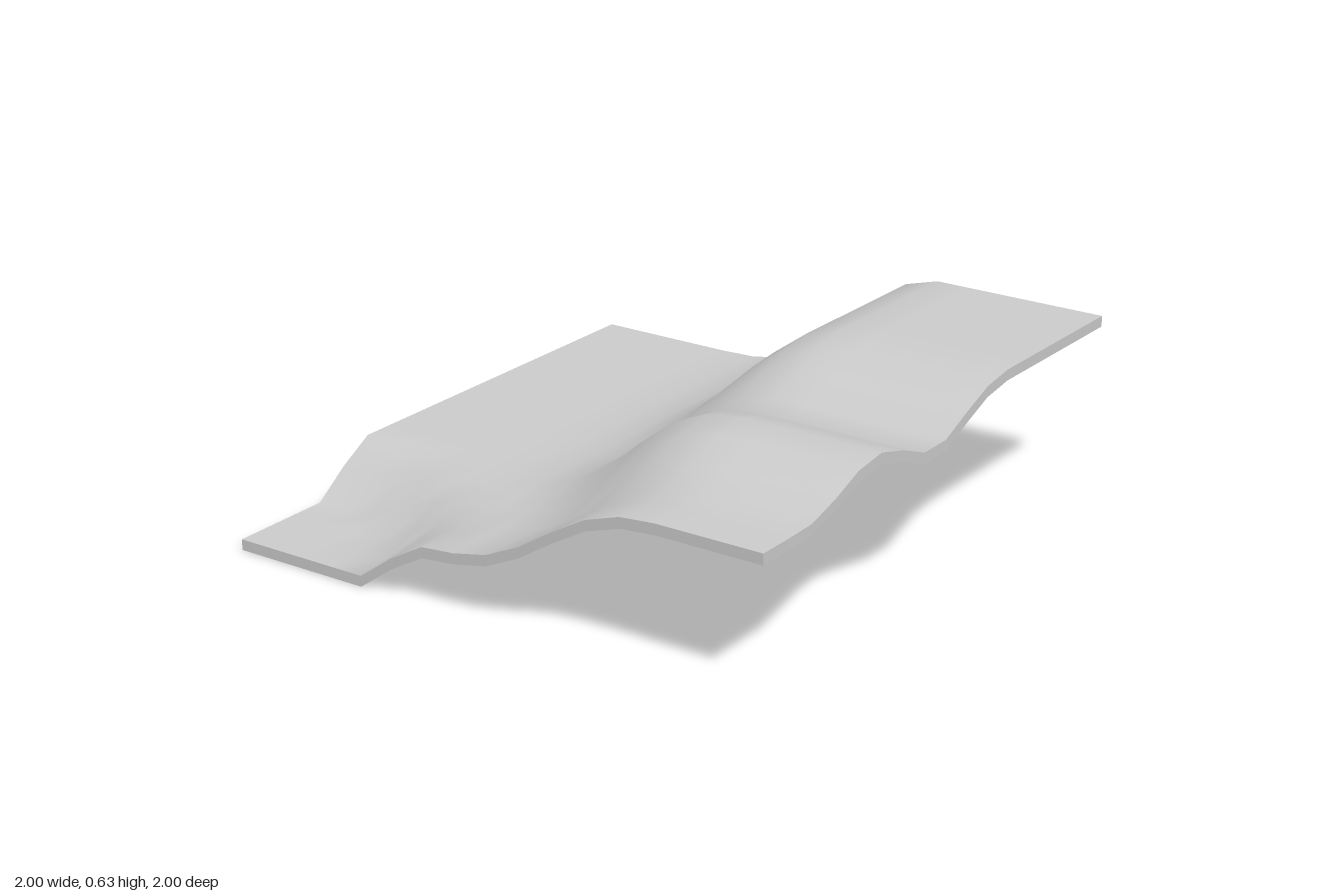
import * as THREE from 'three';

// Piecewise-linear curve through [position, value] pairs, held flat beyond the ends
function curve(points) {
  return (t) => {
    if (t <= points[0][0]) return points[0][1];
    for (let i = 1; i < points.length; i++) {
      const [t0, v0] = points[i - 1];
      const [t1, v1] = points[i];
      if (t <= t1) return v0 + ((v1 - v0) * (t - t0)) / (t1 - t0);
    }
    return points[points.length - 1][1];
  };
}

const THICKNESS = 0.037;
const LOWLAND = 0.2;

// Height of the upper terrace from back to front: plateau, valley, hump, shelf
const terrace = curve([
  [-0.375, 0.63], [-0.25, 0.612], [-0.125, 0.565], [0, 0.513], [0.125, 0.512], [0.25, 0.56],
  [0.375, 0.593], [0.5, 0.577], [0.625, 0.53], [0.75, 0.495], [0.875, 0.492],
]);

// Slope between lowland (0) and terrace (1), and its sideways drift towards the front
const slope = curve([
  [-0.4, 0], [-0.25, 0.058], [-0.125, 0.175], [0, 0.43], [0.125, 0.71], [0.25, 0.92], [0.375, 1],
]);
const drift = curve([[0, 0], [0.375, 0.06], [0.75, 0.18]]);

// Depth of the rounded corner hollow by distance from the corner
const hollow = curve([[0.4, 0.16], [0.5, 0.07], [0.6, 0]]);

function height(x, z) {
  const rise = (terrace(z) - LOWLAND) * slope(x - drift(z));
  return LOWLAND + rise - hollow(Math.hypot(0.8 * (x + 1), 1 - z));
}

export function createModel() {
  const group = new THREE.Group();
  group.name = 'terrainTile';

  // Thin gridded slab draped over the height field
  const geometry = new THREE.BoxGeometry(2, THICKNESS, 2, 16, 1, 16);
  const position = geometry.attributes.position;
  for (let i = 0; i < position.count; i++) {
    const top = height(position.getX(i), position.getZ(i));
    position.setY(i, position.getY(i) > 0 ? top : top - THICKNESS);
  }
  geometry.translate(0, THICKNESS - 0.04, 0);
  geometry.computeVertexNormals();
  geometry.computeBoundingBox();
  geometry.translate(0, -geometry.boundingBox.min.y, 0);

  const terrain = new THREE.Mesh(geometry, new THREE.MeshStandardMaterial({ color: 0xcccccc }));
  terrain.name = 'terrain';
  group.add(terrain);
  return group;
}
